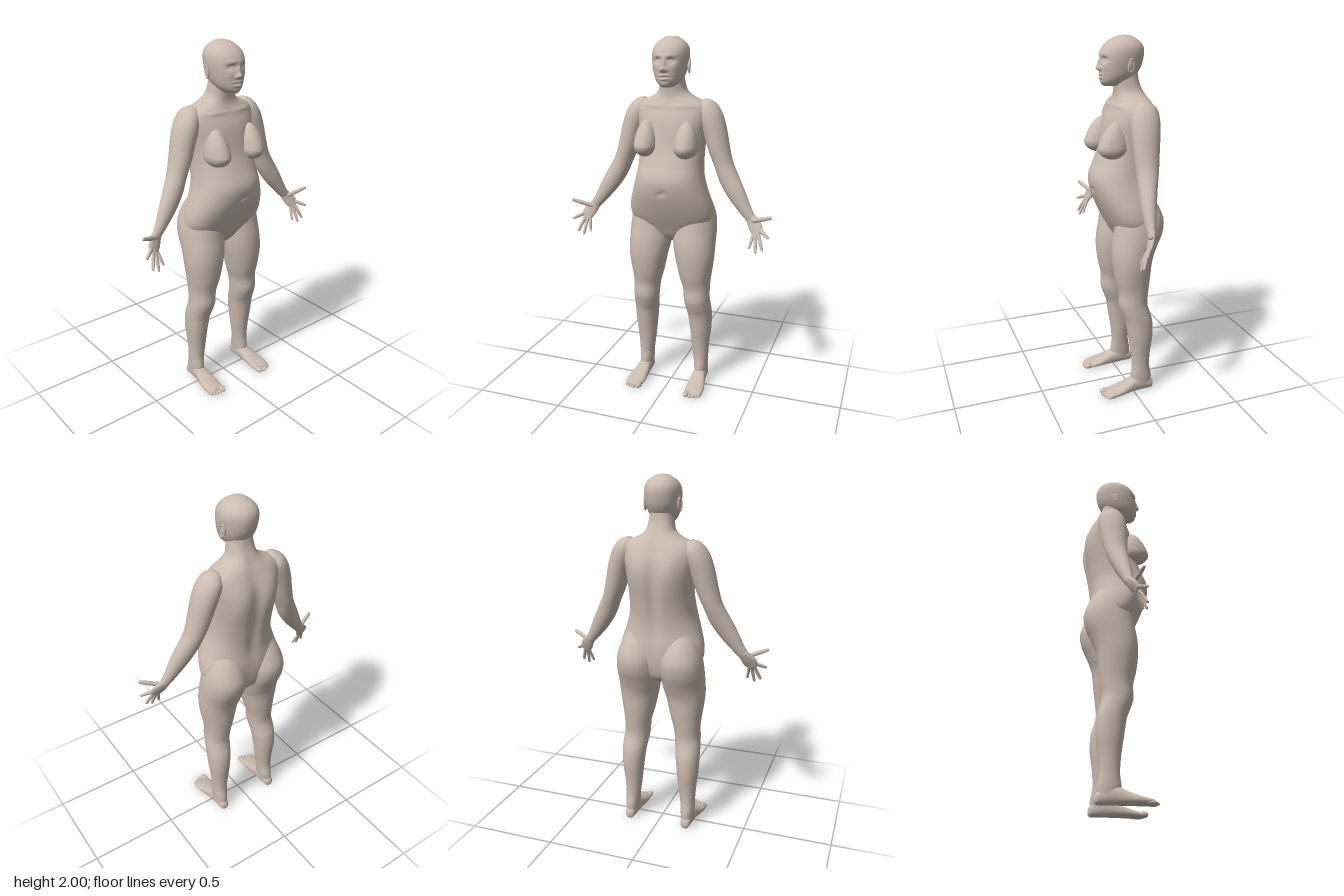
import * as THREE from 'three';

const skin = new THREE.MeshStandardMaterial({ color: 0xcbbcb0 });
skin.name = 'skin';

const catmull = (a, b, c, d, t) =>
  0.5 * (2 * b + (c - a) * t + (2 * a - 5 * b + 4 * c - d) * t * t + (3 * b - a - 3 * c + d) * t * t * t);

// Section from its limits: height, x range, z range
const slab = ([y, x0, x1, z0, z1]) => [(x0 + x1) / 2, y, (z0 + z1) / 2, (x1 - x0) / 2, (z1 - z0) / 2];

// Smooth skin over sections [x, y, z, halfWidth, halfDepth], lowest first, with domed ends
function loft(rows, { sides = 28, steps = 5, power = 2, domes = [0.01, 0.01], rule } = {}) {
  const rings = [];
  const n = rows.length - 1;
  for (let i = 0; i < n; i++) {
    for (let s = 0; s < steps; s++) {
      const [a, b, c, d] = [Math.max(i - 1, 0), i, i + 1, Math.min(i + 2, n)].map((k) => rows[k]);
      rings.push(b.map((_, k) => catmull(a[k], b[k], c[k], d[k], s / steps)));
    }
  }
  rings.push(rows[n]);
  const dome = (end, next, h) => {
    const dir = new THREE.Vector3(end[0] - next[0], end[1] - next[1], end[2] - next[2]).normalize();
    return [0.35, 0.7, 1.05, 1.35, Math.PI / 2].map((q) => {
      const k = h * Math.sin(q), r = Math.cos(q);
      return [end[0] + dir.x * k, end[1] + dir.y * k, end[2] + dir.z * k, end[3] * r, end[4] * r];
    });
  };
  const all = [
    ...dome(rings[0], rings[1], domes[0]).reverse(),
    ...rings,
    ...dome(rows[n], rings[rings.length - 2], domes[1]),
  ];

  const pos = [], index = [];
  const v = new THREE.Vector3();
  const round = (t) => Math.sign(t) * Math.abs(t) ** (2 / power);
  all.forEach(([x, y, z, a, d], i) => {
    const p = all[Math.max(i - 1, 0)], q = all[Math.min(i + 1, all.length - 1)];
    const tx = q[0] - p[0], ty = q[1] - p[1], len = Math.hypot(tx, ty) || 1;
    for (let j = 0; j < sides; j++) {
      const th = (j / sides) * Math.PI * 2;
      const u = a * round(Math.cos(th)), w = d * round(Math.sin(th));
      v.set(x + (u * ty) / len, y - (u * tx) / len, z + w);
      if (rule) rule(v, Math.sin(th));
      pos.push(v.x, v.y, v.z);
      if (i < all.length - 1) {
        const k = i * sides, m = (j + 1) % sides;
        index.push(k + j, k + sides + j, k + m, k + m, k + sides + j, k + sides + m);
      }
    }
  });
  const g = new THREE.BufferGeometry();
  g.setAttribute('position', new THREE.Float32BufferAttribute(pos, 3));
  g.setIndex(index);
  g.computeVertexNormals();
  return g;
}

// Soft symmetric swelling (or hollow) of a surface along z
const swell = (v, x, y, sx, sy, amount) =>
  amount * Math.exp(-(((Math.abs(v.x) - x) / sx) ** 2) - ((v.y - y) / sy) ** 2);

function part(parent, name, geometry) {
  const m = new THREE.Mesh(geometry, skin);
  m.name = name;
  parent.add(m);
  return m;
}

function ball(parent, name, p, s) {
  const m = part(parent, name, new THREE.SphereGeometry(1, 24, 16));
  m.position.set(...p);
  m.scale.set(...s);
  return m;
}

// Trunk and neck: y, half width, back z, front z
function torso() {
  const rows = [
    [0.89, 0.05, -0.08, 0.02], [0.92, 0.12, -0.12, 0.05], [0.97, 0.2, -0.14, 0.078],
    [1.03, 0.236, -0.15, 0.11], [1.1, 0.234, -0.152, 0.142], [1.18, 0.21, -0.147, 0.172],
    [1.26, 0.187, -0.152, 0.182], [1.34, 0.178, -0.165, 0.152], [1.42, 0.178, -0.178, 0.122],
    [1.5, 0.186, -0.182, 0.105], [1.57, 0.198, -0.172, 0.09], [1.63, 0.2, -0.15, 0.066],
    [1.665, 0.165, -0.135, 0.052], [1.69, 0.112, -0.122, 0.045], [1.72, 0.078, -0.108, 0.045],
    [1.77, 0.066, -0.088, 0.05], [1.83, 0.06, -0.08, 0.05],
  ].map(([y, a, b, f]) => slab([y, -a, a, b, f]));
  return loft(rows, {
    sides: 72, steps: 7, power: 2.3,
    rule: (v, s) => {
      if (s < 0) {
        v.z += swell(v, 0, 1.38, 0.03, 0.25, 0.02); // spine
        v.z -= swell(v, 0.095, 1.52, 0.06, 0.11, 0.014); // shoulder blades
      } else {
        v.z -= swell(v, 0, 1.19, 0.012, 0.012, 0.014); // navel
        v.z += swell(v, 0.09, 1.645, 0.07, 0.012, 0.006); // collarbones
      }
    },
  });
}

// Head with modelled face
function head() {
  const rows = [
    [1.748, 0.036, 0.0, 0.108], [1.77, 0.06, -0.04, 0.12], [1.8, 0.077, -0.075, 0.124],
    [1.84, 0.088, -0.1, 0.124], [1.88, 0.094, -0.112, 0.125], [1.92, 0.095, -0.116, 0.118],
    [1.95, 0.087, -0.108, 0.1], [1.975, 0.067, -0.086, 0.071], [1.99, 0.042, -0.058, 0.042],
  ].map(([y, a, b, f]) => slab([y, -a, a, b, f]));
  const face = [
    [0.036, 1.88, 0.02, 0.014, -0.016], [0.034, 1.877, 0.011, 0.007, 0.007], // eyes
    [0.03, 1.905, 0.03, 0.01, 0.004], // brow
    [0, 1.838, 0.013, 0.014, 0.022], [0, 1.865, 0.009, 0.022, 0.012], [0.016, 1.833, 0.008, 0.008, 0.009], // nose
    [0, 1.806, 0.024, 0.006, 0.007], [0, 1.787, 0.02, 0.006, 0.008], [0, 1.797, 0.026, 0.003, -0.004], // lips
    [0, 1.758, 0.022, 0.012, 0.005], [0.05, 1.84, 0.02, 0.02, 0.004], // chin, cheeks
  ];
  return loft(rows, {
    sides: 96, steps: 9, power: 2.15, domes: [0.008, 0.01],
    rule: (v, s) => {
      if (s > 0) v.z += face.reduce((sum, f) => sum + swell(v, ...f), 0);
    },
  });
}

function leg(side) {
  // Thigh, knee and calf: y, inner x, outer x, back z, front z
  part(side, 'leg', loft([
    [0.04, 0.14, 0.205, -0.11, 0], [0.09, 0.133, 0.21, -0.112, 0.01], [0.16, 0.127, 0.212, -0.1, 0.003],
    [0.25, 0.115, 0.218, -0.105, 0.01], [0.35, 0.105, 0.229, -0.118, 0.025], [0.44, 0.095, 0.232, -0.115, 0.04],
    [0.5, 0.086, 0.23, -0.098, 0.062], [0.55, 0.08, 0.226, -0.088, 0.076], [0.62, 0.072, 0.226, -0.095, 0.075],
    [0.7, 0.05, 0.236, -0.105, 0.093], [0.8, 0.028, 0.249, -0.117, 0.105], [0.88, 0.012, 0.25, -0.147, 0.103],
    [0.95, 0.006, 0.249, -0.178, 0.092], [1.02, 0.008, 0.242, -0.188, 0.08], [1.09, 0.02, 0.222, -0.165, 0.065],
    [1.16, 0.04, 0.19, -0.125, 0.05], [1.22, 0.07, 0.15, -0.08, 0.03],
  ].map(slab), { sides: 40, power: 2.1 }));

  // Foot lofted from heel to ball, then laid forward: z, inner x, outer x, top y
  part(side, 'foot', loft([
    [-0.105, 0.146, 0.2, 0.065], [-0.05, 0.137, 0.208, 0.095], [0, 0.134, 0.213, 0.088],
    [0.05, 0.13, 0.223, 0.066], [0.1, 0.128, 0.233, 0.048], [0.14, 0.13, 0.232, 0.037], [0.16, 0.135, 0.222, 0.03],
  ].map(([z, x0, x1, top]) => slab([z, x0, x1, -top, -0.003])), { sides: 32, power: 2.4, domes: [0.02, 0.01] })
    .rotateX(Math.PI / 2));
  [[0.147, 0.166, 0.017], [0.172, 0.167, 0.011], [0.19, 0.162, 0.01], [0.207, 0.155, 0.01], [0.222, 0.146, 0.01]]
    .forEach(([x, z, r]) => ball(side, 'toe', [x, 0.004 + r * 0.9, z], [r, r * 0.9, 0.029]));
}

function arm(side) {
  // Wrist up to shoulder: centre, half width, half depth
  part(side, 'arm', loft([
    [0.457, 1.06, 0.017, 0.027, 0.021], [0.42, 1.11, 0.01, 0.036, 0.03], [0.367, 1.19, -0.002, 0.05, 0.043],
    [0.322, 1.265, -0.016, 0.054, 0.052], [0.29, 1.335, -0.028, 0.051, 0.06], [0.26, 1.42, -0.034, 0.058, 0.069],
    [0.235, 1.51, -0.04, 0.063, 0.076], [0.21, 1.58, -0.045, 0.064, 0.079], [0.185, 1.63, -0.05, 0.053, 0.07],
    [0.165, 1.655, -0.05, 0.032, 0.045],
  ], { sides: 36, domes: [0.01, 0.015] }));

  part(side, 'palm', loft([
    [0.503, 0.99, 0.05, 0.03, 0.011], [0.487, 1.02, 0.036, 0.037, 0.015],
    [0.468, 1.047, 0.023, 0.032, 0.018], [0.45, 1.07, 0.015, 0.027, 0.02],
  ], { power: 2.3 }));

  // Base and tip of each digit, and its radius
  [
    ['thumb', [0.47, 1.05, 0.03], [0.572, 1.086, 0.07], 0.013],
    ['indexFinger', [0.513, 1.008, 0.047], [0.567, 0.982, 0.085], 0.0105],
    ['middleFinger', [0.505, 0.995, 0.05], [0.538, 0.912, 0.09], 0.0105],
    ['ringFinger', [0.493, 0.988, 0.05], [0.504, 0.896, 0.092], 0.01],
    ['littleFinger', [0.482, 0.985, 0.046], [0.467, 0.914, 0.08], 0.009],
  ].forEach(([name, base, tip, r]) => {
    const rows = [0, 0.35, 0.7, 1].map((t, i) => [
      ...tip.map((c, k) => c + (base[k] - c) * t + (k === 2 ? 0.008 * t * (1 - t) : 0)),
      r * [0.72, 0.9, 0.95, 1.1][i], r * [0.72, 0.9, 0.95, 1.1][i],
    ]);
    part(side, name, loft(rows, { sides: 16, domes: [r * 0.7, r] }));
  });
}

function chest(side) {
  // Rounded below, drawn out into a slope above
  const g = new THREE.SphereGeometry(1, 40, 32);
  const p = g.attributes.position;
  for (let i = 0; i < p.count; i++) {
    const y = p.getY(i);
    if (y > 0) p.setXYZ(i, p.getX(i) * (1 - 0.1 * y), y * 2.1, p.getZ(i) * (1 - 0.3 * y) - 0.12 * y);
  }
  g.computeVertexNormals();
  const m = part(side, 'breast', g);
  m.position.set(0.113, 1.437, 0.09);
  m.scale.set(0.064, 0.063, 0.088);
}

function ear(side) {
  const g = new THREE.Group();
  g.name = 'ear';
  ball(g, 'earBase', [0, 0, 0], [0.008, 0.032, 0.018]);
  const rim = part(g, 'earRim', new THREE.TorusGeometry(0.024, 0.005, 10, 32));
  rim.rotation.y = Math.PI / 2;
  rim.scale.set(0.7, 1.35, 1);
  rim.position.x = 0.004;
  g.position.set(0.093, 1.85, -0.012);
  g.rotation.set(-0.2, 0.25, 0);
  side.add(g);
}

export function createModel() {
  const body = new THREE.Group();
  body.name = 'body';
  part(body, 'torso', torso());
  part(body, 'head', head());

  const left = new THREE.Group();
  left.name = 'leftSide';
  [leg, arm, chest, ear].forEach((build) => build(left));
  const right = left.clone();
  right.name = 'rightSide';
  right.scale.x = -1;
  body.add(left, right);
  return body;
}
